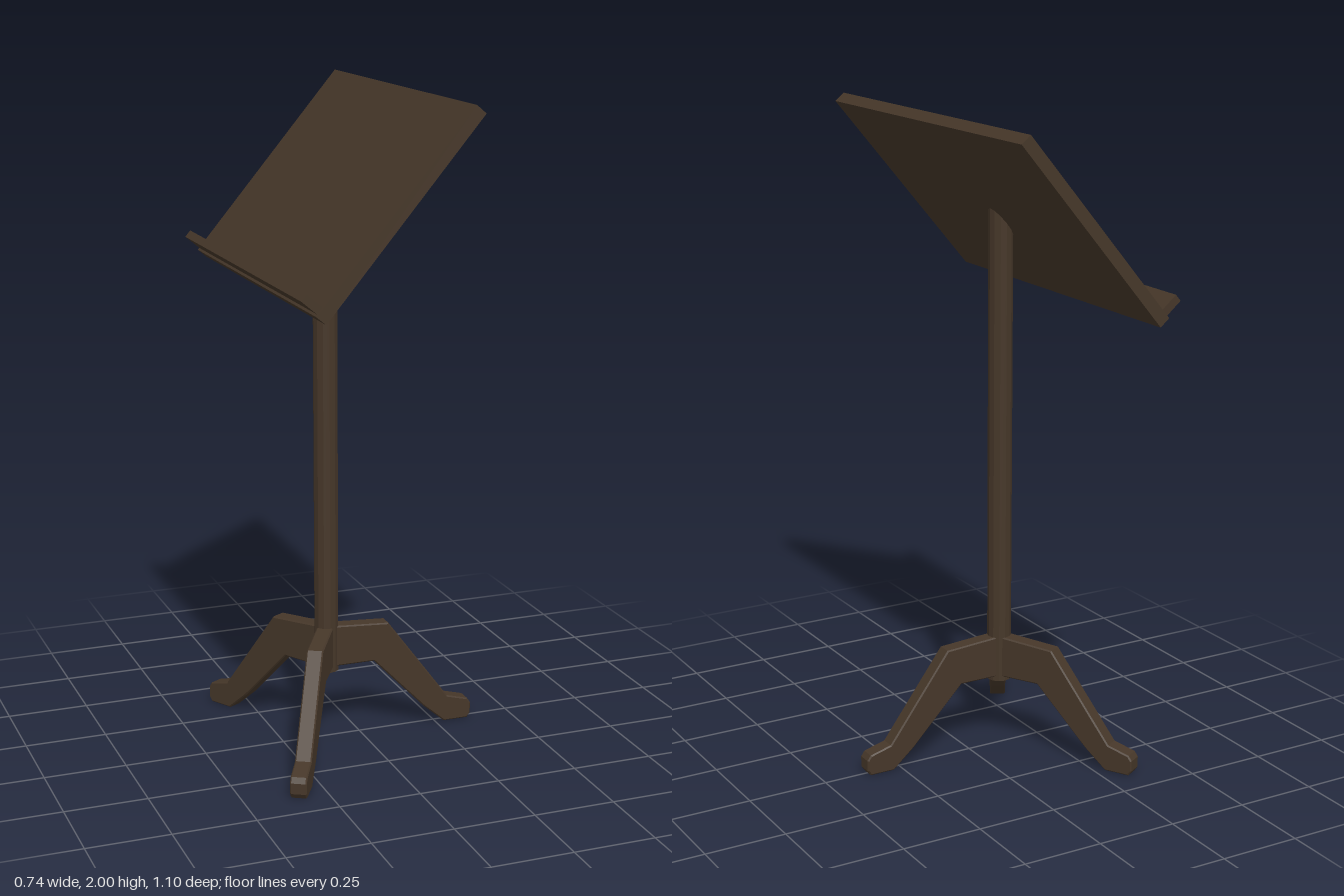
import * as THREE from 'three';

const POLE_X = -0.108;

export function createModel() {
  const model = new THREE.Group();
  const wood = new THREE.MeshStandardMaterial({ color: 0x463729, flatShading: true });
  const add = (geometry, name, parent = model) => {
    const mesh = new THREE.Mesh(geometry, wood);
    mesh.name = name;
    parent.add(mesh);
    return mesh;
  };

  // Sloping desk: local x runs up the slope, local y is normal to the reading face
  const slope = Math.atan2(0.545, 0.46);
  const desk = new THREE.Group();
  desk.name = 'desk';
  desk.position.set(-0.304, 1.428, 0);
  desk.rotation.z = slope;
  model.add(desk);
  const length = 0.713, thickness = 0.037;
  add(new THREE.BoxGeometry(length, thickness, 1.1), 'readingBoard', desk)
    .position.set(length / 2, thickness / 2, 0);
  add(new THREE.BoxGeometry(0.025, 0.07, 1.09), 'bookLedge', desk)
    .position.set(0.02, thickness + 0.025, 0);

  // Post, its top cut to the slope and sunk into the board
  const bottom = 0.22, top = 1.682;
  const postGeometry = new THREE.CylinderGeometry(0.037, 0.037, top - bottom, 12);
  postGeometry.translate(0, (top + bottom) / 2, 0);
  const p = postGeometry.attributes.position;
  for (let i = 0; i < p.count; i++) {
    if (p.getY(i) > 1) p.setY(i, top + p.getX(i) * Math.tan(slope));
  }
  postGeometry.computeVertexNormals();
  add(postGeometry, 'post').position.x = POLE_X;

  // Three bent legs: side profile as (distance from post axis, height)
  const profile = [
    [0, 0.238], [0.148, 0.238], [0.317, 0.063], [0.386, 0.004], [0.465, 0.004],
    [0.476, 0.02], [0.476, 0.053], [0.465, 0.069], [0.396, 0.088],
    [0.196, 0.357], [0, 0.37],
  ];
  const shape = new THREE.Shape(profile.map(([r, y]) => new THREE.Vector2(r, y)));
  const bevel = 0.004, width = 0.05;
  const legGeometry = new THREE.ExtrudeGeometry(shape, {
    depth: width - 2 * bevel, bevelEnabled: true, bevelSegments: 1,
    bevelThickness: bevel, bevelSize: bevel, bevelOffset: -bevel,
  });
  legGeometry.translate(0, 0, bevel - width / 2);
  legGeometry.translate(0, -0.004, 0);
  for (let i = 0; i < 3; i++) {
    const leg = add(legGeometry, `leg${i + 1}`);
    leg.position.x = POLE_X;
    leg.rotation.y = (i * Math.PI * 2) / 3;
  }
  return model;
}
